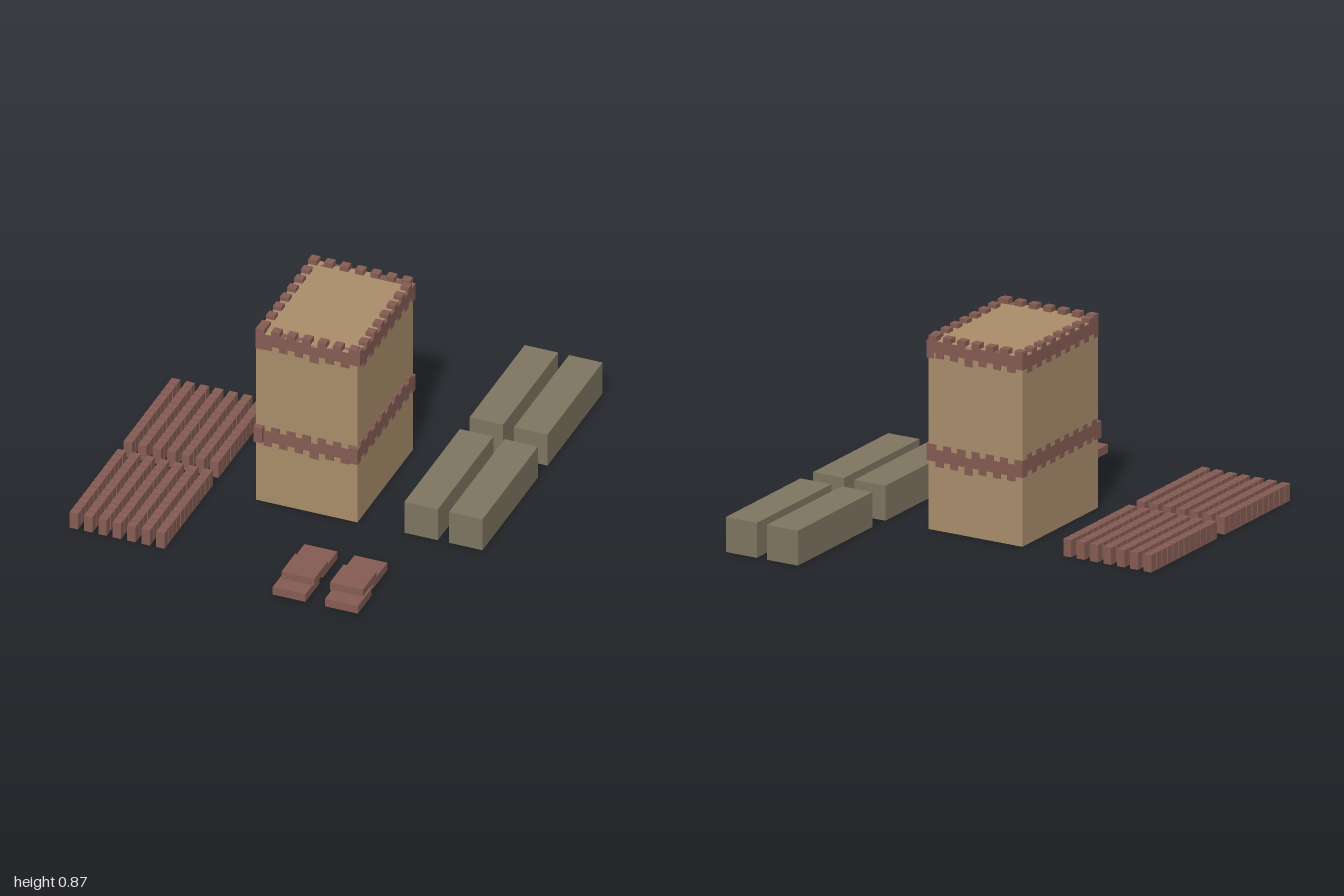
import * as THREE from 'three';

const tan = new THREE.MeshStandardMaterial({ color: 0xa98d6a });
tan.name = 'sandstone';
const brick = new THREE.MeshStandardMaterial({ color: 0x855c53 });
brick.name = 'red brick';
const stone = new THREE.MeshStandardMaterial({ color: 0x7e7561 });
stone.name = 'grey stone';

// Box given by its minimum and maximum corners
function box(parent, name, material, [x0, y0, z0], [x1, y1, z1]) {
  const mesh = new THREE.Mesh(new THREE.BoxGeometry(x1 - x0, y1 - y0, z1 - z0), material);
  mesh.position.set((x0 + x1) / 2, (y0 + y1) / 2, (z0 + z1) / 2);
  mesh.name = name;
  parent.add(mesh);
}

const W = 0.039; // small brick width
const H = 0.076; // small brick height

// Row of upright bricks alternating between a raised and a lowered position
function band(parent, name, { axis, from, to, count, at, y, drop, startLow = false, sag = -1 }) {
  const row = new THREE.Group();
  row.name = name;
  for (let i = 0; i < count; i++) {
    const t = from + (to - from) * i / (count - 1);
    const low = (i % 2 === 1) !== startLow;
    const y0 = y - (low ? drop : 0) - (i === sag ? 0.011 : 0);
    const [x, z] = axis === 'x' ? [t, at] : [at, t];
    box(row, 'bandBrick', brick, [x - W / 2, y0, z - W / 2], [x + W / 2, y0 + H, z + W / 2]);
  }
  parent.add(row);
}

export function createModel() {
  const model = new THREE.Group();
  model.name = 'towerAndBlocks';

  // Tower body
  const tower = new THREE.Group();
  tower.name = 'tower';
  box(tower, 'towerBody', tan, [-0.197, 0, -0.284], [0.271, 0.851, 0.338]);

  // Brick bands on front and back
  for (const [side, at] of [['front', 0.3225], ['back', -0.2675]]) {
    const row = { axis: 'x', from: -0.178, to: 0.25, count: 13, at, drop: 0.023, sag: 7 };
    band(tower, side + 'UpperBand', { ...row, y: 0.798 });
    band(tower, side + 'LowerBand', { ...row, y: 0.31 });
  }

  // Brick bands on both sides, the lower ones running past the front corners
  for (const [side, at, startLow] of [['left', 0.263, true], ['right', -0.1805, false]]) {
    band(tower, side + 'UpperBand',
      { axis: 'z', from: -0.265, to: 0.32, count: 16, at, y: 0.793, drop: 0.022, startLow });
    band(tower, side + 'LowerBand',
      { axis: 'z', from: -0.265, to: 0.343, count: 17, at, y: 0.329, drop: 0.02, startLow: true });
  }
  model.add(tower);

  // Four long stone blocks
  for (const [x0, z0, z1] of [[0.49, -1, -0.385], [0.695, -1, -0.385], [0.487, -0.284, 0.336], [0.693, -0.284, 0.336]]) {
    box(model, 'longBlock', stone, [x0, 0, z0], [x0 + 0.155, 0.157, z1]);
  }

  // Two fields of small upright bricks
  for (const zStart of [-0.299, 0.305]) {
    const field = new THREE.Group();
    field.name = 'brickField';
    for (let c = 0; c < 7; c++) {
      for (let r = 0; r < 12; r++) {
        const x = -0.85 + c * 0.0667, z = zStart + r * 0.0456;
        box(field, 'smallBrick', brick, [x, 0, z], [x + W, 0.078, z + W]);
      }
    }
    model.add(field);
  }

  // Two piles of flat bricks: front, back and one resting on top
  for (const [front, middle, back] of [[0.153, 0.162, 0.154], [0.395, 0.386, 0.385]]) {
    const pile = new THREE.Group();
    pile.name = 'flatBrickPile';
    box(pile, 'frontFlatBrick', brick, [front, 0, 0.845], [front + 0.152, 0.038, 1]);
    box(pile, 'topFlatBrick', brick, [middle, 0.036, 0.77], [middle + 0.152, 0.073, 0.923]);
    box(pile, 'backFlatBrick', brick, [back, 0.008, 0.647], [back + 0.152, 0.046, 0.805]);
    model.add(pile);
  }

  return model;
}
